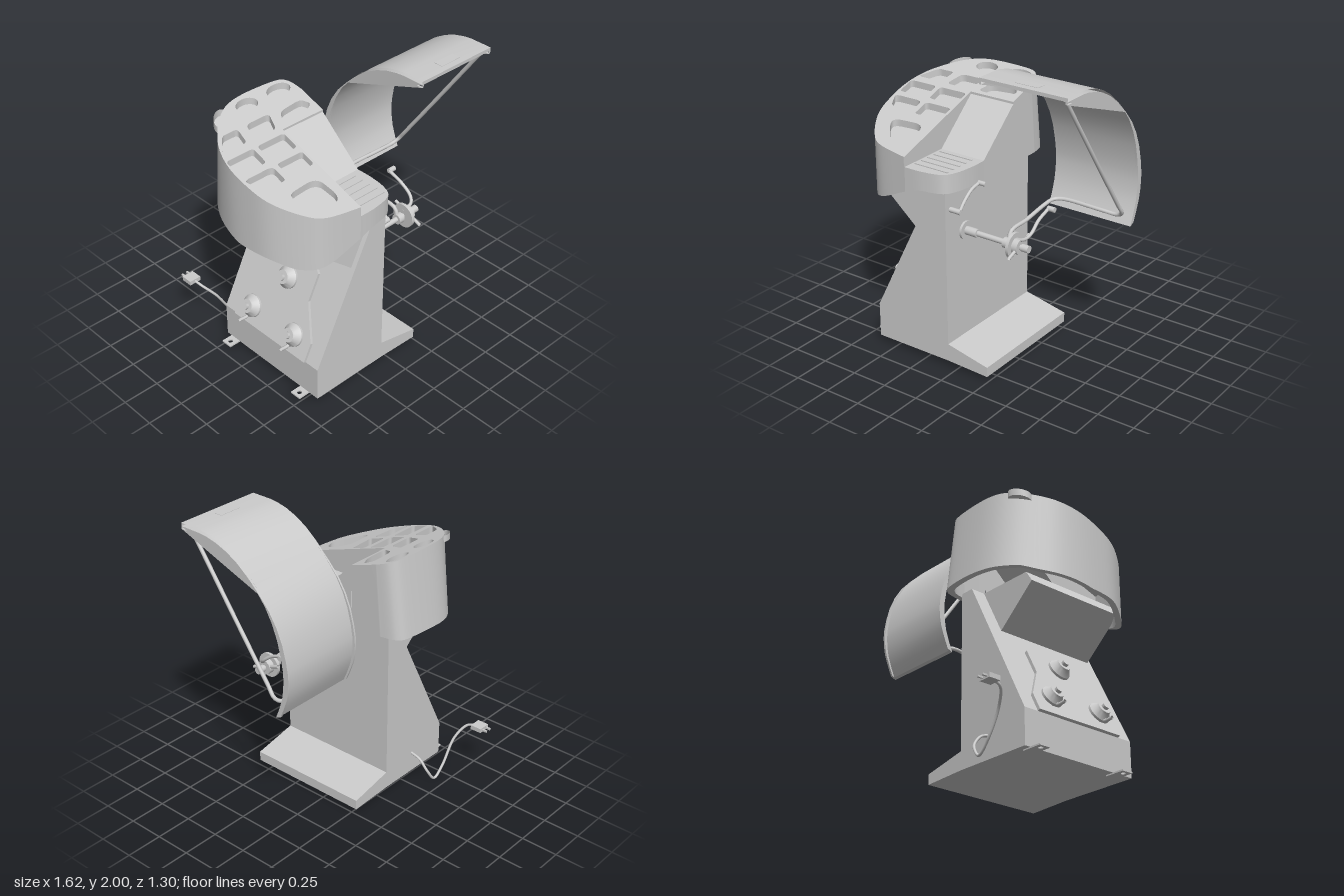
import * as THREE from 'three';
import { toCreasedNormals } from 'three/addons/utils/BufferGeometryUtils.js';

const V2 = (p) => new THREE.Vector2(p[0], p[1]);
const V3 = (p) => new THREE.Vector3(...p);
const grey = new THREE.MeshStandardMaterial({ color: 0xcccccc, side: THREE.DoubleSide });

function add(parent, name, geo, pos = [0, 0, 0]) {
  const m = new THREE.Mesh(geo, grey);
  m.name = name;
  m.position.set(...pos);
  parent.add(m);
  return m;
}
const box = (w, h, d) => new THREE.BoxGeometry(w, h, d);
const rodX = (r, len, r2 = r) => new THREE.CylinderGeometry(r2, r, len, 28).rotateZ(-Math.PI / 2);
const tube = (pts, r, n = 40) =>
  new THREE.TubeGeometry(new THREE.CatmullRomCurve3(pts.map(V3), false, 'centripetal'), n, r, 10);
const extrude = (pts, depth) =>
  new THREE.ExtrudeGeometry(new THREE.Shape(pts.map(V2)), { depth, bevelEnabled: false });
const spline = (pts, n) => new THREE.SplineCurve(pts.map(V2)).getPoints(n).map((p) => [p.x, p.y]);

// surface between two rows of 3D points
function strip(low, high) {
  const n = low.length, idx = [];
  for (let i = 0; i < n - 1; i++) idx.push(i, i + 1, n + i, i + 1, n + i + 1, n + i);
  const g = new THREE.BufferGeometry();
  g.setAttribute('position', new THREE.Float32BufferAttribute([...low, ...high].flat(), 3));
  g.setIndex(idx);
  g.computeVertexNormals();
  return g;
}

// face drawn in plan (x, z) and lifted to a height rule
function face(pts, height, holes = []) {
  const s = new THREE.Shape(pts.map(([x, z]) => new THREE.Vector2(x, -z)));
  s.holes = holes.map((h) => new THREE.Path(h.map(([x, z]) => new THREE.Vector2(x, -z))));
  const g = new THREE.ShapeGeometry(s), p = g.attributes.position;
  for (let i = 0; i < p.count; i++) p.setXYZ(i, p.getX(i), height(-p.getY(i)), -p.getY(i));
  g.computeVertexNormals();
  return g;
}

// polygon with rounded corners; k = share of each side used by the rounding
function rounded(pts, k) {
  const s = new THREE.Path(), n = pts.length;
  const mix = (a, b, t) => [a[0] + (b[0] - a[0]) * t, a[1] + (b[1] - a[1]) * t];
  pts.forEach((p, i) => {
    const a = mix(p, pts[(i + n - 1) % n], k), b = mix(p, pts[(i + 1) % n], k);
    if (i) s.lineTo(...a); else s.moveTo(...a);
    s.quadraticCurveTo(...p, ...b);
  });
  return s.getPoints(6).map((p) => [p.x, p.y]);
}
const ellipse = (x, z, rx, rz, rot = 0) =>
  new THREE.EllipseCurve(x, z, rx, rz, 0, Math.PI * 2, false, rot).getPoints(28).slice(0, -1).map((p) => [p.x, p.y]);

function makeHead() {
  const g = new THREE.Group();
  g.name = 'head';
  const slope = (z) => 1.4 + 0.335 * (0.645 - z);
  const deck = 1.335;
  const lean = ([x, z]) => [x, z < 0 ? z * 0.845 : z];
  const dip = ([x, z]) => {
    const t = THREE.MathUtils.smoothstep(-x, 0.18, 0.66) * 0.16 - THREE.MathUtils.smoothstep(-x, 0.68, 0.82) * 0.05;
    return 1.21 - t * THREE.MathUtils.clamp((z + 0.38) / 0.5, 0.15, 1);
  };
  // plan outline: back and left side, then the front corner beside the deck
  const outer = [[0, -0.03], ...spline([[0, -0.26], [-0.03, -0.37], [-0.12, -0.415], [-0.41, -0.42], [-0.58, -0.35],
    [-0.735, -0.17], [-0.805, 0.02], [-0.81, 0.2], [-0.775, 0.36], [-0.67, 0.52], [-0.56, 0.6], [-0.33, 0.645]], 90)];
  const front = spline([[-0.33, 0.645], [-0.2, 0.642], [-0.07, 0.61], [-0.02, 0.53], [0, 0.4], [0, 0.285]], 36);
  const top = outer.map(lean), notchZ = top[0][1];
  const at = (pts, h) => pts.map((p) => [p[0], h(p), p[1]]);

  // side walls
  add(g, 'headWall', strip(at(outer, dip), at(top, (p) => slope(p[1]))));
  add(g, 'deckWall', strip(at(front, dip), at(front, () => deck)));
  add(g, 'screenSide', strip([[0, 1.21, 0.285], [0, 1.21, notchZ]], [[0, deck, 0.285], [0, 1.61, notchZ]]));
  const ring = [...outer, ...front, outer[0]];
  const inset = ring.map(([x, z]) => [-0.4 + (x + 0.4) * 0.92, 0.1 + (z - 0.1) * 0.92]);
  const inner = ring.map((p, i) => [inset[i][0], dip(p), inset[i][1]]);
  add(g, 'bottomRim', strip(inner, at(ring, dip)));
  add(g, 'innerWall', strip(inner.map(([x, y, z]) => [x, y + 0.1, z]), inner));

  // tray with sunken pockets
  const pockets = [
    ellipse(-0.6, -0.27, 0.075, 0.045, -0.7), ellipse(-0.39, -0.28, 0.08, 0.047), ellipse(-0.135, -0.28, 0.09, 0.047),
    rounded([[-0.78, -0.05], [-0.59, -0.05], [-0.57, -0.16], [-0.69, -0.16]], 0.22),
    rounded([[-0.54, -0.045], [-0.365, -0.045], [-0.32, -0.16], [-0.5, -0.16]], 0.22),
    rounded([[-0.295, -0.05], [-0.13, -0.05], [-0.03, -0.1], [-0.07, -0.155], [-0.25, -0.14]], 0.3),
    rounded([[-0.795, 0], [-0.59, 0], [-0.59, 0.12], [-0.795, 0.12]], 0.15),
    rounded([[-0.555, 0], [-0.347, 0], [-0.347, 0.12], [-0.555, 0.12]], 0.15),
    rounded([[-0.8, 0.16], [-0.58, 0.16], [-0.58, 0.28], [-0.75, 0.26]], 0.22),
    rounded([[-0.545, 0.16], [-0.347, 0.16], [-0.347, 0.265], [-0.545, 0.28]], 0.15),
    rounded([[-0.67, 0.365], [-0.41, 0.35], [-0.385, 0.52], [-0.5, 0.58]], 0.33),
  ];
  add(g, 'trayTop', face([...top, [-0.33, notchZ]], slope, pockets));
  const floor = (z) => slope(z) - 0.045;
  pockets.forEach((p) => {
    const loop = [...p, p[0]];
    add(g, 'pocketWall', strip(at(loop, (q) => slope(q[1])), at(loop, (q) => floor(q[1]))));
    add(g, 'pocketFloor', face(p, floor));
  });

  // screen recess and control deck
  add(g, 'controlDeck', face([...front, [-0.33, 0.285]], () => deck));
  const scr = (z) => deck + (0.285 - z) * (1.61 - deck) / (0.285 - notchZ);
  add(g, 'screen', face([[-0.33, 0.285], [0, 0.285], [0, notchZ], [-0.33, notchZ]], scr));
  add(g, 'screenLip', strip([[-0.33, 1.61, notchZ], [0, 1.61, notchZ]],
    [[-0.33, slope(notchZ), notchZ], [0, slope(notchZ), notchZ]]));
  const cheek = extrude([[0.645, deck], [0.645, 1.4], [notchZ, slope(notchZ)], [notchZ, 1.61], [0.285, deck]], 0.004);
  add(g, 'recessCheek', cheek.rotateY(-Math.PI / 2), [-0.33, 0, 0]);
  for (let i = 0; i < 5; i++) add(g, 'deckRib', box(0.25, 0.008, 0.012), [-0.185, deck + 0.002, 0.325 + i * 0.06]);
  return g;
}

function makeStand() {
  const g = new THREE.Group();
  g.name = 'stand';
  add(g, 'column', extrude([[-0.63, 0.045], [-0.065, 0.045], [-0.065, 1.215], [-0.16, 1.215], [-0.63, 0.28]], 0.87), [0, 0, -0.28]);
  add(g, 'foot', extrude([[-0.065, 0.045], [0.24, 0.033], [0.24, 0.1], [-0.065, 0.165]], 0.87), [0, 0, -0.28]);
  add(g, 'headBracket', extrude([[-0.32, 0.9], [-0.16, 1.215], [-0.55, 1.215], [-0.6, 1.14]], 0.74), [0, 0, -0.18]);
  // anchor tabs with bolt holes
  for (const z of [0.47, -0.2]) {
    const tab = new THREE.Shape([[-0.71, -0.04], [-0.57, -0.04], [-0.57, 0.04], [-0.71, 0.04]].map(V2));
    tab.holes.push(new THREE.Path().absarc(-0.675, 0, 0.016, 0, Math.PI * 2));
    add(g, 'anchorTab', new THREE.ExtrudeGeometry(tab, { depth: 0.01, bevelEnabled: false }).rotateX(-Math.PI / 2), [0, 0.037, z]);
  }
  return g;
}

// sloped accessory plate carrying three centring cones
function makeConeRack() {
  const g = new THREE.Group();
  g.name = 'coneRack';
  const n = Math.hypot(0.47, 0.935), ux = 0.47 / n, uy = 0.935 / n;
  g.applyMatrix4(new THREE.Matrix4().makeBasis(V3([0, 0, 1]), V3([ux, uy, 0]), V3([-uy, ux, 0])).setPosition(-0.63, 0.28, 0.155));
  const half = [[0.33, 0], [0.33, 0.13], [0.2, 0.36], [0.2, 0.55], [0.13, 0.62]];
  add(g, 'rackPlate', extrude([...half, ...half.map(([x, y]) => [-x, y]).reverse()], 0.02));
  const cone = new THREE.LatheGeometry([[0.03, 0], [0.075, 0.015], [0.075, 0.03], [0.05, 0.062], [0.045, 0.075],
    [0.022, 0.075], [0.022, 0.095], [0, 0.095]].map(V2), 28).rotateX(Math.PI / 2);
  const cones = toCreasedNormals(cone, 0.5);
  for (const [x, y] of [[0, 0.43], [-0.195, 0.125], [0.195, 0.125]]) {
    add(g, 'centringCone', cones, [x, y, 0.018]);
    if (x) add(g, 'hookHandle', tube([[x, y - 0.04, 0.02], [x, y - 0.08, 0.06], [x, y - 0.1, 0.11]], 0.011, 10));
  }
  return g;
}

// curved wheel guard with its bent support bar
function makeGuard() {
  const g = new THREE.Group();
  g.name = 'wheelGuard';
  const arc = [[0.595, 1.998], ...spline([[0.44, 1.998], [0.33, 1.98], [0.19, 1.92], [0.05, 1.81], [-0.08, 1.66], [-0.16, 1.49],
    [-0.2, 1.31], [-0.203, 1.2], [-0.185, 1.08], [-0.135, 0.95]], 16)];
  const sheet = (t, x0, x1) => {
    const inner = arc.map(([z, y], i) => {
      const a = arc[Math.max(i - 1, 0)], b = arc[Math.min(i + 1, arc.length - 1)];
      const l = Math.hypot(b[0] - a[0], b[1] - a[1]);
      return [z - (b[1] - a[1]) / l * -t, y + (b[0] - a[0]) / l * t];
    });
    const geo = extrude([...arc, ...inner.reverse()], x1 - x0).rotateY(-Math.PI / 2).translate(x1, 0, 0);
    return toCreasedNormals(geo, 0.6);
  };
  add(g, 'guardSheet', sheet(0.022, 0.205, 0.805));
  add(g, 'nearEdge', sheet(0.04, 0.205, 0.217));
  add(g, 'farEdge', sheet(0.04, 0.79, 0.805));
  add(g, 'guardGrip', box(0.16, 0.006, 0.06), [0.5, 1.997, 0.52]);
  add(g, 'supportBar', tube([[0.26, 0.9, 0.39], [0.26, 0.96, 0.36], [0.26, 0.975, 0.2], [0.26, 1.005, 0], [0.27, 1.015, -0.08],
    [0.32, 1.02, -0.11], [0.6, 1.02, -0.11], [0.73, 1.02, -0.11], [0.768, 1.05, -0.09], [0.768, 1.12, -0.04],
    [0.768, 1.5, 0.23], [0.768, 1.97, 0.56]], 0.013, 90));
  return g;
}

function makeSpindle() {
  const g = new THREE.Group();
  g.name = 'spindle';
  const y = 0.895, z = 0.398;
  for (const [name, r, x0, x1] of [['shaftFlange', 0.06, -0.065, -0.05], ['shaftSleeve', 0.028, -0.065, 0.035],
    ['shaft', 0.018, 0.03, 0.42], ['armCollar', 0.035, 0.24, 0.28], ['clampDisc', 0.083, 0.3, 0.32],
    ['clampHub', 0.05, 0.32, 0.36], ['shaftTip', 0.024, 0.37, 0.42]])
    add(g, name, rodX(r, x1 - x0), [(x0 + x1) / 2, y, z]);
  add(g, 'clampLever', tube([[0.345, 0.855, 0.505], [0.345, y, z], [0.345, 0.935, 0.29]], 0.011, 12));
  // curved pull arms with end knobs
  add(g, 'gaugeArm', tube([[0.3, 0.93, 0.4], [0.38, 0.95, 0.39], [0.405, 0.98, 0.36], [0.405, 1.04, 0.28], [0.405, 1.08, 0.17]], 0.011));
  add(g, 'gaugeKnob', rodX(0.017, 0.05), [0.425, 1.08, 0.17]);
  add(g, 'sideArm', tube([[0.005, 1.085, 0.54], [0.005, 1.14, 0.49], [0.005, 1.19, 0.42], [0.005, 1.21, 0.34]], 0.011));
  add(g, 'sideArmPivot', rodX(0.017, 0.08), [-0.025, 1.085, 0.54]);
  add(g, 'sideArmKnob', rodX(0.015, 0.06), [0.025, 1.21, 0.34]);
  return g;
}

function makePowerCord() {
  const g = new THREE.Group();
  g.name = 'powerCord';
  add(g, 'cable', tube([[-0.33, 0.19, -0.27], [-0.33, 0.165, -0.35], [-0.34, 0.09, -0.41], [-0.4, 0.012, -0.425], [-0.48, 0.08, -0.43],
    [-0.59, 0.25, -0.44], [-0.66, 0.335, -0.49], [-0.675, 0.355, -0.55]], 0.009, 60));
  add(g, 'plugBody', box(0.085, 0.03, 0.08), [-0.675, 0.355, -0.58]);
  for (const x of [-0.695, -0.655]) add(g, 'plugPin', box(0.012, 0.012, 0.04), [x, 0.355, -0.635]);
  return g;
}

export function createModel() {
  const model = new THREE.Group();
  model.name = 'wheelBalancer';
  model.add(makeStand(), makeHead(), makeConeRack(), makeSpindle(), makeGuard(), makePowerCord());
  return model;
}
